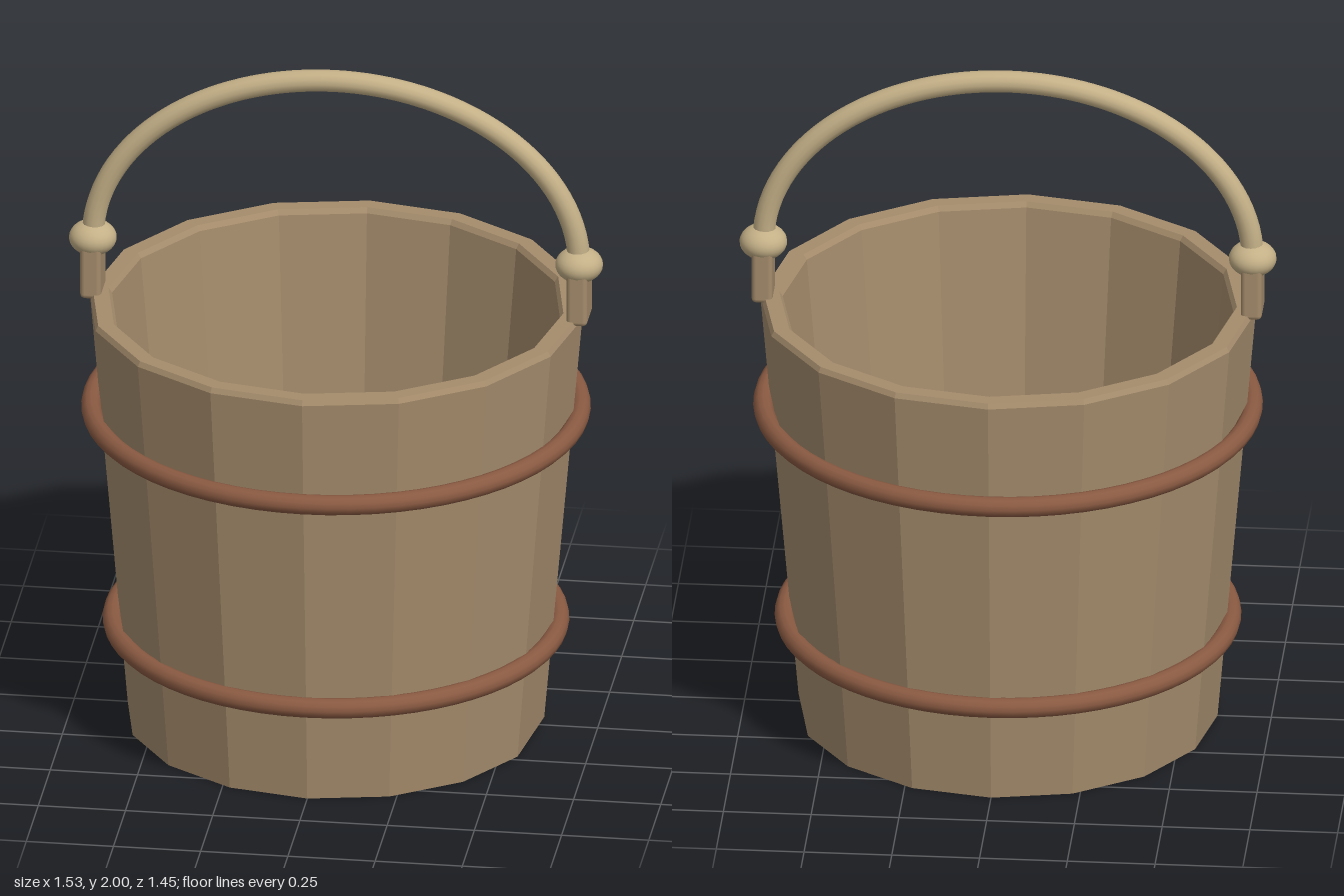
import * as THREE from 'three';
import { RoundedBoxGeometry } from 'three/addons/geometries/RoundedBoxGeometry.js';

const material = (color, flatShading = false) => new THREE.MeshStandardMaterial({ color, flatShading });

export function createModel() {
  const group = new THREE.Group();
  const wood = material(0xa58c6c, true);
  const peg = material(0xa58c6c);
  const rope = material(0xc4b087);
  const copper = material(0x8a5a42);

  const add = (name, geometry, mat, x = 0, y = 0, z = 0) => {
    const mesh = new THREE.Mesh(geometry, mat);
    mesh.name = name;
    mesh.position.set(x, y, z);
    group.add(mesh);
    return mesh;
  };

  // Sixteen-sided tapered tub: underside, outer wall, bevelled rim, inner wall, floor
  const profile = [
    [0, 0], [0.597, 0], [0.706, 1.27], [0.698, 1.285], [0.652, 1.285],
    [0.642, 1.27], [0.53, 0.07], [0, 0.07],
  ].map(([r, y]) => new THREE.Vector2(r, y));
  const tub = new THREE.LatheGeometry(profile, 16);
  // Small chip in the bottom edge on the left side
  const pos = tub.attributes.position;
  for (let i = 0; i < pos.count; i++) {
    if (pos.getX(i) > 0.59 && pos.getX(i) < 0.6 && pos.getY(i) < 0.01) pos.setY(i, 0.025);
  }
  add('tub', tub, wood);

  // Two metal hoops
  for (const [name, y, r] of [['lowerHoop', 0.3, 0.634], ['upperHoop', 0.96, 0.695]]) {
    add(name, new THREE.TorusGeometry(r, 0.029, 12, 64), copper, 0, y).rotation.x = Math.PI / 2;
  }

  // Pegs on the rim, each topped by a flattened knob
  for (const [side, s] of [['left', 1], ['right', -1]]) {
    add(side + 'Peg', new RoundedBoxGeometry(0.06, 0.17, 0.12, 2, 0.014), peg, s * 0.697, 1.355);
    const knob = add(side + 'Knob', new THREE.SphereGeometry(0.068, 24, 16), rope, s * 0.697, 1.44);
    knob.scale.y = 0.74;
  }

  // Arched handle
  const arch = [];
  for (let i = 0; i <= 24; i++) {
    const a = (Math.PI * i) / 24;
    arch.push(new THREE.Vector3(0.697 * Math.cos(a), 1.44 + 0.528 * Math.sin(a), 0));
  }
  add('handle', new THREE.TubeGeometry(new THREE.CatmullRomCurve3(arch), 64, 0.032, 14), rope);

  return group;
}
